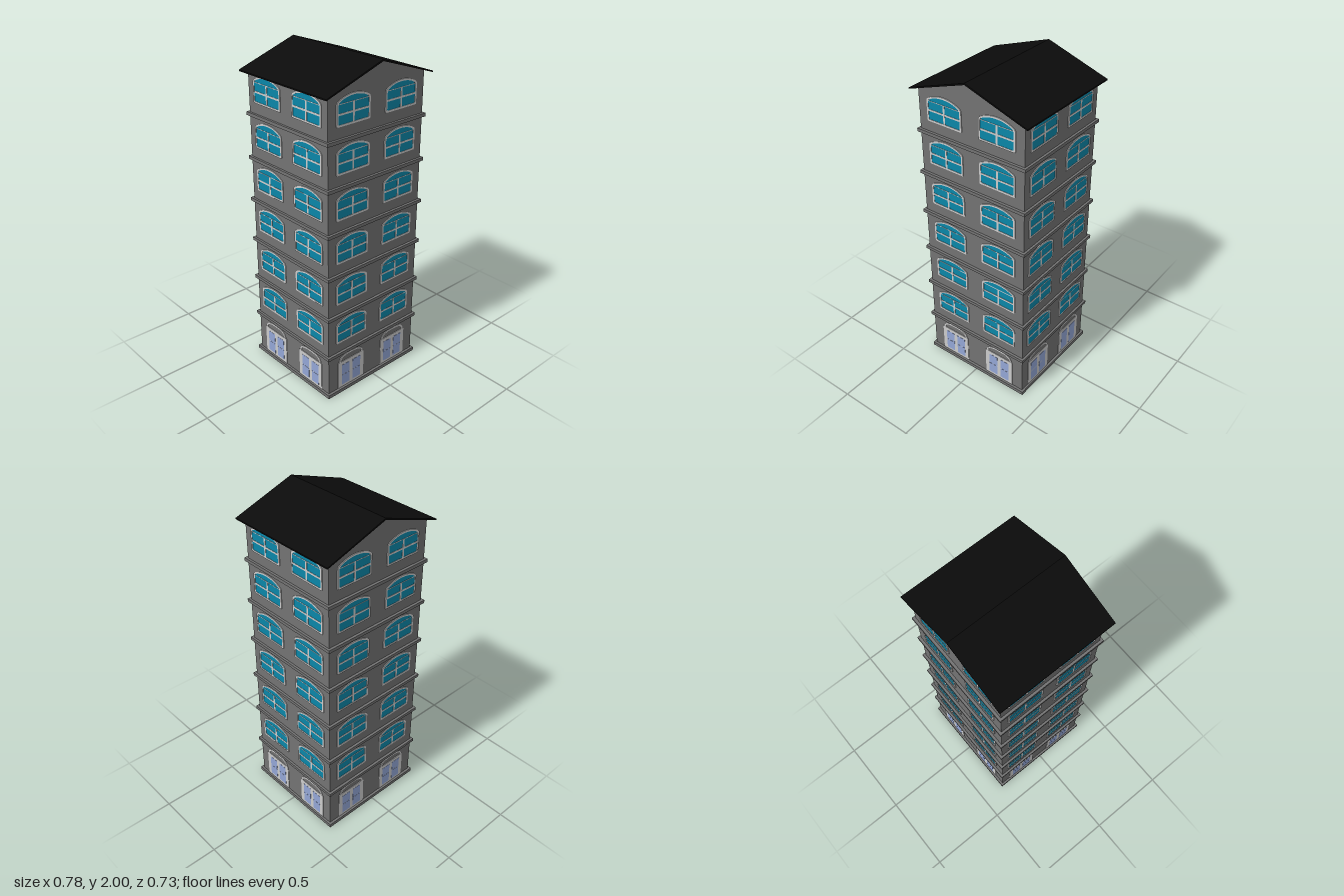
import * as THREE from 'three';

const mat = (name, color, side = THREE.FrontSide) => {
  const m = new THREE.MeshStandardMaterial({ color, side });
  m.name = name;
  return m;
};

const HX = 0.353, HZ = 0.331, STOREY = 0.267;

export function createModel() {
  const wallMat = mat('wall grey', 0x737373, THREE.DoubleSide);
  const frameMat = mat('frame light grey', 0xcccccc);
  const glassMat = mat('window glass', 0x0a86a8);
  const paneMat = mat('door glass', 0x93a6d6);
  const roofMat = mat('roof black', 0x0b0b0b);

  const model = new THREE.Group();
  model.name = 'tower';
  const add = (parent, name, geometry, material) => {
    const mesh = new THREE.Mesh(geometry, material);
    mesh.name = name;
    parent.add(mesh);
    return mesh;
  };
  const polygon = (pts) => new THREE.Shape(pts.map(([x, y]) => new THREE.Vector2(x, y)));
  // Plate centred on its own plane, so it shows on both faces of the thin wall
  const plate = (shape, depth) =>
    new THREE.ExtrudeGeometry(shape, { depth, bevelEnabled: false, curveSegments: 8 })
      .translate(0, 0, -depth / 2);
  const box = (w, h, d, x, y) => new THREE.BoxGeometry(w, h, d).translate(x, y, 0);

  // Window outline with a low arch and stepped shoulders; t is the inset
  const arched = (t) => {
    const s = new THREE.Shape();
    const w = 0.119 - t, b = t;
    s.moveTo(-w + 0.008, b);
    s.lineTo(w - 0.008, b);
    s.quadraticCurveTo(w, b, w, b + 0.008);
    s.lineTo(w, 0.118 - t / 2);
    s.quadraticCurveTo(w, 0.132 - t / 2, w - 0.02, 0.141 - t / 2);
    s.quadraticCurveTo(0.05, 0.165 - t, 0, 0.165 - t);
    s.quadraticCurveTo(-0.05, 0.165 - t, -w + 0.02, 0.141 - t / 2);
    s.quadraticCurveTo(-w, 0.132 - t / 2, -w, 0.118 - t / 2);
    s.lineTo(-w, b + 0.008);
    s.quadraticCurveTo(-w, b, -w + 0.008, b);
    return s;
  };

  const makeWindow = () => {
    const g = new THREE.Group();
    g.name = 'window';
    const rim = arched(0);
    rim.holes.push(arched(0.011));
    add(g, 'windowFrame', plate(rim, 0.009), frameMat);
    add(g, 'windowGlass', plate(arched(0.006), 0.005), glassMat);
    add(g, 'windowMullion', box(0.012, 0.112, 0.008, 0, 0.064), frameMat);
    add(g, 'windowCrossbar', box(0.22, 0.011, 0.008, 0, 0.066), frameMat);
    add(g, 'windowTransom', box(0.22, 0.004, 0.008, 0, 0.12), frameMat);
    return g;
  };

  const makeDoor = () => {
    const g = new THREE.Group();
    g.name = 'door';
    add(g, 'doorLeaves', box(0.206, 0.185, 0.007, 0, 0.1175), frameMat);
    // Arched moulding over the door
    const arch = (w, y0, top) => {
      const s = new THREE.Shape();
      s.moveTo(-w, y0);
      s.lineTo(w, y0);
      s.bezierCurveTo(w, top, w * 0.4, top, 0, top);
      s.bezierCurveTo(-w * 0.4, top, -w, top, -w, y0);
      return s;
    };
    const rim = arch(0.096, 0.205, 0.258);
    rim.holes.push(arch(0.084, 0.209, 0.248));
    add(g, 'doorArch', plate(rim, 0.007), frameMat);
    for (const x of [-0.044, 0.044])
      for (const y of [0.076, 0.15])
        add(g, 'doorPane', box(0.063, 0.071, 0.009, x, y), paneMat);
    return g;
  };

  const windowPart = makeWindow(), doorPart = makeDoor();

  // Four thin walls, each with two columns of openings
  for (let i = 0; i < 4; i++) {
    const gable = i % 2 === 0;
    const hw = gable ? HX : HZ;
    const side = new THREE.Group();
    side.name = ['frontSide', 'leftSide', 'backSide', 'rightSide'][i];
    side.rotation.y = i * Math.PI / 2;
    const pts = [[-hw, 0.003], [hw, 0.003], [hw, 1.873]];
    if (gable) pts.push([0, 1.992]);
    pts.push([-hw, 1.873]);
    const wall = add(side, 'wall', new THREE.ShapeGeometry(polygon(pts)), wallMat);
    wall.position.z = gable ? HZ : HX;
    for (const s of [-1, 1]) {
      const x = s * (gable ? 0.176 : 0.167);
      const door = doorPart.clone();
      door.position.set(x, 0, wall.position.z);
      side.add(door);
      for (let f = 0; f < 6; f++) {
        const win = windowPart.clone();
        win.position.set(x, 0.356 + f * STOREY, wall.position.z);
        side.add(win);
      }
    }
    model.add(side);
  }

  // Ledges between storeys, as open rings around the shell
  const rect = (x, z) => polygon([[-x, -z], [x, -z], [x, z], [-x, z]]);
  const ring = rect(0.367, 0.347);
  ring.holes.push(rect(HX - 0.001, HZ - 0.001));
  const ledge = new THREE.ExtrudeGeometry(ring, { depth: 0.02, bevelEnabled: false })
    .rotateX(-Math.PI / 2);
  for (let f = 0; f < 7; f++)
    add(model, f ? 'ledge' : 'baseLedge', ledge, wallMat).position.y = f ? 0.005 + f * STOREY : 0.003;

  // Base skirt closes the ring down to the ground
  add(model, 'baseSkirt', ledge, wallMat).scale.y = 0.2;

  // Thin pitched roof with its ridge running front to back
  const roof = polygon([[-0.39, 1.86], [0, 1.99], [0.39, 1.86], [0.39, 1.868], [0, 2], [-0.39, 1.868]]);
  add(model, 'roof', plate(roof, 0.73), roofMat);

  return model;
}
